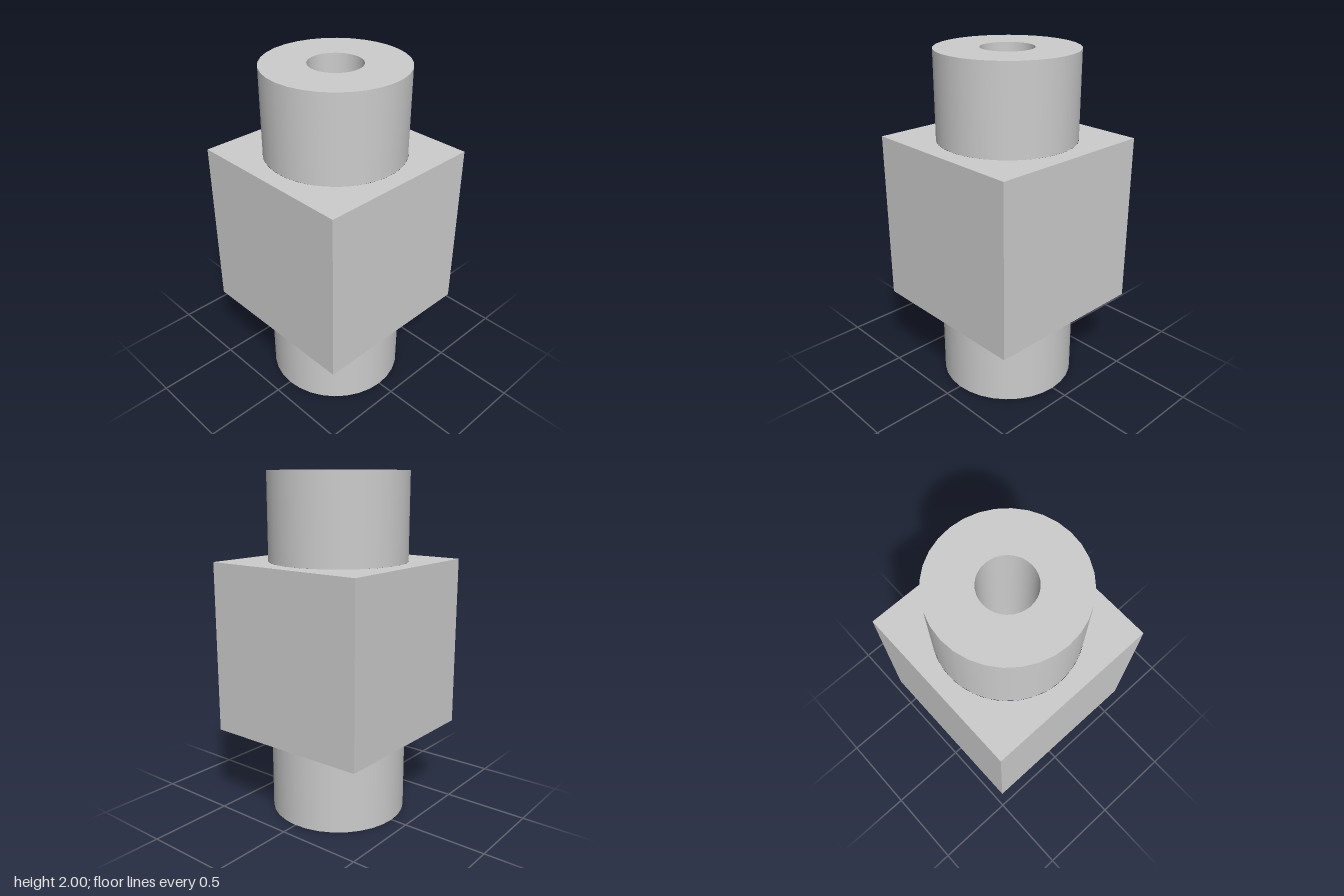
import * as THREE from 'three';
import { mergeGeometries } from 'three/addons/utils/BufferGeometryUtils.js';

const SEGMENTS = 32;
const HALF = 0.5; // half the cube side
const OUTER = 0.4; // collar radius
const BORE = 0.15; // through-hole radius
const COLLAR = 0.5; // collar height

// Cube shell whose top and bottom open onto the collars
function blockGeometry() {
  const square = new THREE.Shape([
    new THREE.Vector2(-HALF, -HALF), new THREE.Vector2(HALF, -HALF),
    new THREE.Vector2(HALF, HALF), new THREE.Vector2(-HALF, HALF),
  ]);
  square.holes.push(new THREE.Path().absarc(0, 0, OUTER, 0, Math.PI * 2, true));
  const faces = [];
  for (const side of [-1, 1]) {
    faces.push(new THREE.ShapeGeometry(square, SEGMENTS)
      .translate(0, 0, HALF).rotateX(side * Math.PI / 2));
  }
  for (let i = 0; i < 4; i++) {
    faces.push(new THREE.PlaneGeometry(2 * HALF, 2 * HALF)
      .translate(0, 0, HALF).rotateY(i * Math.PI / 2));
  }
  return mergeGeometries(faces);
}

// Smooth outer wall with a flat ring on its free end
function collarGeometry() {
  return mergeGeometries([
    new THREE.CylinderGeometry(OUTER, OUTER, COLLAR, SEGMENTS, 1, true)
      .translate(0, HALF + COLLAR / 2, 0),
    new THREE.RingGeometry(BORE, OUTER, SEGMENTS)
      .rotateX(-Math.PI / 2).translate(0, HALF + COLLAR, 0),
  ]);
}

export function createModel() {
  const group = new THREE.Group();
  group.name = 'collaredBlock';
  const grey = new THREE.MeshStandardMaterial({ color: 0xcccccc });
  grey.name = 'light grey';

  const add = (name, geometry) => {
    const mesh = new THREE.Mesh(geometry, grey);
    mesh.name = name;
    mesh.position.y = 1;
    group.add(mesh);
    return mesh;
  };

  add('block', blockGeometry());
  add('upperCollar', collarGeometry());
  add('lowerCollar', collarGeometry()).rotation.x = Math.PI;

  // Profile runs downward so the bore wall faces inward
  const end = HALF + COLLAR;
  add('bore', new THREE.LatheGeometry(
    [new THREE.Vector2(BORE, end), new THREE.Vector2(BORE, -end)], SEGMENTS));

  return group;
}
